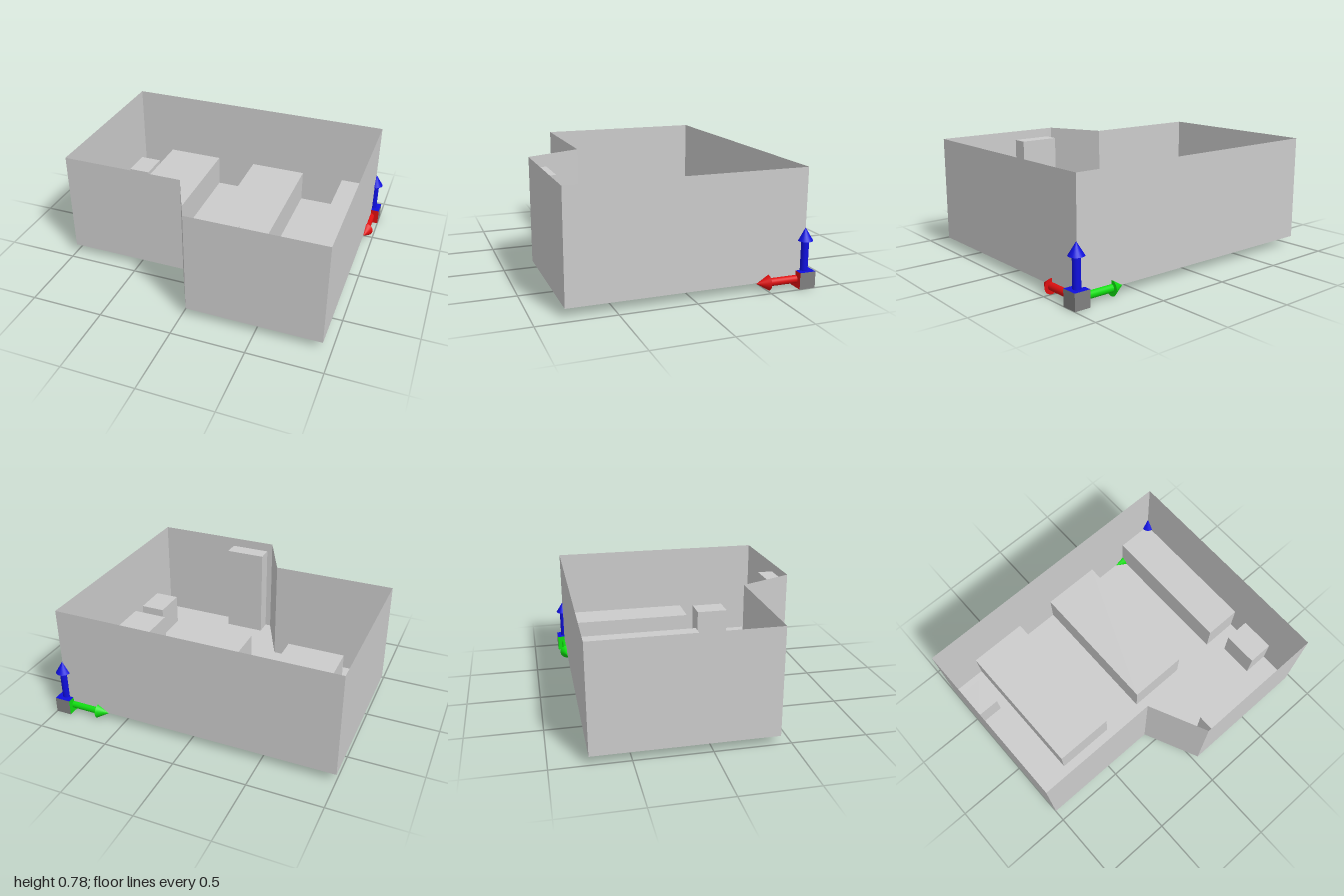
import * as THREE from 'three';

const FLOOR = 0.058, TOP = 0.78;
const grey = new THREE.MeshStandardMaterial({ color: 0xcccccc, side: THREE.DoubleSide });
const paint = (color) => new THREE.MeshStandardMaterial({ color });

function add(parent, name, geometry, material) {
  const mesh = new THREE.Mesh(geometry, material);
  mesh.name = name;
  parent.add(mesh);
  return mesh;
}

// Room outline in plan, as [x, z]
const outline = [[-1, -0.76], [0.942, -0.76], [0.942, 0.808], [0.027, 0.808], [-0.153, 0.428], [-1, 0.428]];

// Open-topped room of thin sheets: one floor and one wall per outline side
function buildRoom() {
  const room = new THREE.Group();
  room.name = 'room';
  const plan = new THREE.Shape(outline.map(([x, z]) => new THREE.Vector2(x, -z)));
  const floor = add(room, 'floor', new THREE.ShapeGeometry(plan), grey);
  floor.rotation.x = -Math.PI / 2;
  floor.position.y = FLOOR;

  outline.forEach(([x0, z0], i) => {
    const [x1, z1] = outline[(i + 1) % outline.length];
    const geometry = new THREE.PlaneGeometry(Math.hypot(x1 - x0, z1 - z0), TOP - FLOOR);
    const wall = add(room, 'wall', geometry, grey);
    wall.position.set((x0 + x1) / 2, (FLOOR + TOP) / 2, (z0 + z1) / 2);
    wall.rotation.y = Math.atan2(z0 - z1, x1 - x0);
  });
  return room;
}

// Block furniture standing on the floor: name, x range, z range, top height
const furniture = [
  ['rightBed', -0.75, -0.335, -0.76, 0.218, 0.293],
  ['middleBed', -0.043, 0.37, -0.76, 0.218, 0.293],
  ['leftBed', 0.683, 0.942, -0.76, 0.218, 0.293],
  ['sideTable', -0.983, -0.822, -0.648, -0.432, 0.235],
  ['stool', 0.763, 0.942, 0.33, 0.577, 0.282],
  ['tallCabinet', 0.067, 0.352, 0.698, 0.808, 0.715],
];

function buildFurniture() {
  const group = new THREE.Group();
  group.name = 'furniture';
  for (const [name, x0, x1, z0, z1, top] of furniture) {
    const box = add(group, name, new THREE.BoxGeometry(x1 - x0, top - FLOOR, z1 - z0), grey);
    box.position.set((x0 + x1) / 2, (FLOOR + top) / 2, (z0 + z1) / 2);
  }
  return group;
}

// Corner marker: a cube with three coloured arrows
function buildAxisMarker() {
  const marker = new THREE.Group();
  marker.name = 'axisMarker';
  const red = paint(0xdd0f0f), green = paint(0x0fdd0f), blue = paint(0x0f0fdd), dark = paint(0x808080);
  add(marker, 'markerCube', new THREE.BoxGeometry(0.11, 0.11, 0.11), [dark, green, blue, dark, red, dark]);

  const arrow = (name, material) => {
    const group = new THREE.Group();
    group.name = name;
    add(group, 'shaft', new THREE.CylinderGeometry(0.026, 0.026, 0.2, 24), material).position.y = 0.152;
    add(group, 'tip', new THREE.ConeGeometry(0.051, 0.083, 24), material).position.y = 0.2935;
    marker.add(group);
    return group;
  };
  arrow('upArrow', blue);
  arrow('frontArrow', red).rotation.x = Math.PI / 2;
  arrow('rightArrow', green).rotation.z = Math.PI / 2;
  marker.position.set(0.945, 0.055, -0.758);
  return marker;
}

export function createModel() {
  const model = new THREE.Group();
  model.name = 'furnishedRoom';
  model.add(buildRoom(), buildFurniture(), buildAxisMarker());
  return model;
}
